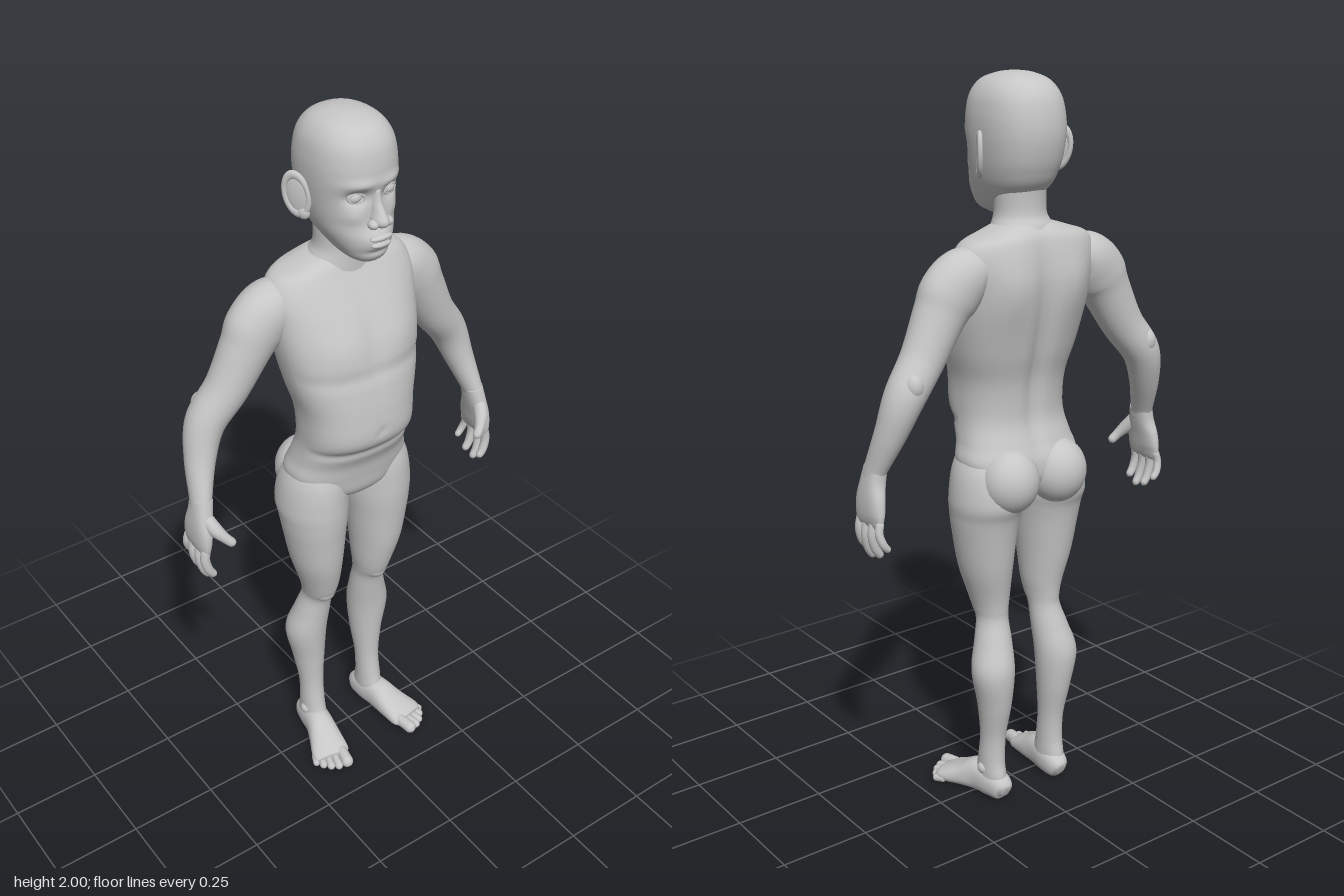
import * as THREE from 'three';

const skin = new THREE.MeshStandardMaterial({ color: 0xc6c6c6 });
skin.name = 'grey skin';

// Smooth bump falling off around zero
const bump = (a, b = 0) => Math.exp(-a * a - b * b);
// Horizontal section [y, xMin, xMax, zFront, zBack] -> [x, y, z, ru, rv]
const slab = ([y, xa, xb, zf, zb]) => [(xa + xb) / 2, y, (zf + zb) / 2, (xb - xa) / 2, (zf - zb) / 2];
// Horizontal section symmetric in x: [y, halfWidth, zFront, zBack]
const symmetric = ([y, w, zf, zb]) => slab([y, -w, w, zf, zb]);

// Skin a tube through sections [x, y, z, ru, rv]; mirror with side = -1
function loft(name, sections, o = {}) {
  const { rings = 40, segs = 36, flat = false, ref = [0, 0, 1], e = 2, round = 0, side = 1, deform } = o;
  const path = new THREE.CatmullRomCurve3(sections.map(s => new THREE.Vector3(s[0], s[1], s[2])), false, 'catmullrom', 0.5);
  const size = new THREE.CatmullRomCurve3(sections.map(s => new THREE.Vector3(s[3], s[4], 0)), false, 'catmullrom', 0.5);
  const axis = new THREE.Vector3(...ref), pos = [], idx = [];
  const power = c => Math.sign(c) * Math.abs(c) ** (2 / e);
  const push = p => {
    if (deform) deform(p);
    pos.push(p.x * side, p.y, p.z);
  };
  for (let i = 0; i <= rings; i++) {
    const t = i / rings, c = path.getPoint(t), r = size.getPoint(t);
    const dir = flat ? new THREE.Vector3(0, -1, 0) : path.getTangent(t);
    const v = axis.clone().addScaledVector(dir, -dir.dot(axis)).normalize();
    const u = v.clone().cross(dir);
    if (round) {
      const k = Math.min(1, t / round, (1 - t) / round);
      r.multiplyScalar(Math.max(0.05, Math.sqrt(1 - (1 - k) ** 2)));
    }
    for (let j = 0; j < segs; j++) {
      const a = j / segs * Math.PI * 2;
      push(c.clone().addScaledVector(u, r.x * power(Math.cos(a))).addScaledVector(v, r.y * power(Math.sin(a))));
    }
  }
  const face = (a, b, c) => side > 0 ? idx.push(a, b, c) : idx.push(a, c, b);
  for (let i = 0; i < rings; i++) for (let j = 0; j < segs; j++) {
    const k = (j + 1) % segs, a = i * segs + j, b = i * segs + k;
    face(a, b, b + segs);
    face(a, b + segs, a + segs);
  }
  // End caps
  const first = pos.length / 3, last = rings * segs;
  push(path.getPoint(0));
  push(path.getPoint(1));
  for (let j = 0; j < segs; j++) {
    const k = (j + 1) % segs;
    face(first, k, j);
    face(first + 1, last + j, last + k);
  }
  const g = new THREE.BufferGeometry();
  g.setAttribute('position', new THREE.Float32BufferAttribute(pos, 3));
  g.setIndex(idx);
  g.computeVertexNormals();
  return named(name, g);
}

function named(name, geometry) {
  const m = new THREE.Mesh(geometry, skin);
  m.name = name;
  return m;
}

function ellipsoid(name, p, r, turn = [0, 0, 0]) {
  const m = named(name, new THREE.SphereGeometry(1, 28, 20));
  m.position.set(...p);
  m.scale.set(...r);
  m.rotation.set(...turn);
  return m;
}

function buildHead() {
  const g = new THREE.Group();
  g.name = 'head';
  // Skull and face, with eye sockets, brow and muzzle
  g.add(loft('skull', [
    [2.0, .006, -.01, -.025], [1.995, .04, .03, -.065], [1.978, .077, .078, -.108], [1.945, .101, .106, -.137],
    [1.9, .111, .118, -.151], [1.85, .112, .12, -.155], [1.8, .107, .115, -.148], [1.76, .1, .116, -.135],
    [1.72, .088, .124, -.112], [1.68, .066, .124, -.06], [1.655, .045, .113, -.005], [1.638, .012, .085, .045],
  ].map(symmetric), {
    flat: true, e: 2.3, rings: 90, segs: 90,
    deform: p => {
      if (p.z < .03) return;
      const x = Math.abs(p.x);
      p.z += .014 * bump(p.x / .04, (p.y - 1.712) / .026) + .007 * bump((x - .045) / .04, (p.y - 1.856) / .012)
        - .02 * bump((x - .048) / .026, (p.y - 1.823) / .017) + .006 * bump((x - .06) / .025, (p.y - 1.775) / .02)
        - .006 * bump(p.x / .035, (p.y - 1.682) / .008);
    },
  }));
  g.add(loft('nose', [[1.84, .011, .121, .08], [1.81, .014, .128, .08], [1.785, .017, .143, .08],
    [1.768, .021, .154, .09], [1.755, .019, .15, .09], [1.745, .006, .13, .1]].map(symmetric), { flat: true, rings: 24 }));
  g.add(ellipsoid('upperLip', [0, 1.722, .132], [.032, .0085, .012]));
  g.add(ellipsoid('lowerLip', [0, 1.704, .131], [.028, .009, .012]));
  for (const s of [-1, 1]) {
    g.add(ellipsoid('nostril', [s * .021, 1.759, .128], [.013, .012, .015]));
    g.add(ellipsoid('eye', [s * .048, 1.822, .085], [.02, .017, .019]));
    const lid = named('eyelid', new THREE.TorusGeometry(.02, .0035, 10, 32));
    lid.position.set(s * .048, 1.822, .098);
    lid.scale.y = .6;
    lid.rotation.y = s * .3;
    g.add(lid);
    // Ear flares out and back
    const ear = new THREE.Group();
    ear.name = 'ear';
    ear.position.set(s * .126, 1.803, -.036);
    ear.rotation.set(0, s > 0 ? .98 : Math.PI - .98, 0);
    const tilt = new THREE.Group();
    tilt.rotation.z = -.2;
    const rim = named('earRim', new THREE.TorusGeometry(.03, .007, 12, 36));
    rim.scale.y = 1.65;
    tilt.add(rim, ellipsoid('earBowl', [-.004, -.002, 0], [.03, .05, .007]),
      ellipsoid('earLobe', [-.008, -.049, 0], [.016, .016, .009]));
    ear.add(tilt);
    g.add(ear);
  }
  return g;
}

function buildTorso() {
  const g = new THREE.Group();
  g.name = 'torso';
  g.add(loft('neck', [[1.76, .066, .02, -.11], [1.7, .068, .03, -.102], [1.65, .07, .03, -.103],
    [1.62, .084, .03, -.117], [1.57, .115, .03, -.135]].map(symmetric), { flat: true }));
  // Trunk with spine groove, shoulder blades, chest and waist fold
  g.add(loft('trunk', [
    [1.632, .06, .01, -.105], [1.61, .13, .02, -.128], [1.587, .19, .03, -.14], [1.54, .212, .055, -.15],
    [1.48, .208, .085, -.155], [1.4, .2, .114, -.148], [1.3, .182, .136, -.128], [1.22, .162, .148, -.107],
    [1.15, .157, .15, -.1], [1.1, .157, .126, -.102], [1.05, .165, .101, -.118], [1.0, .176, .09, -.135],
    [.95, .145, .08, -.13], [.92, .075, .055, -.09], [.905, .02, .02, -.04],
  ].map(symmetric), {
    flat: true, e: 2.35, rings: 100, segs: 80,
    deform: p => {
      const x = Math.abs(p.x);
      if (p.z < -.03) p.z += .018 * bump(p.x / .025, (p.y - 1.3) / .28) - .012 * bump((x - .1) / .055, (p.y - 1.47) / .09);
      else if (p.z > .03) p.z += .008 * bump((x - .085) / .06, (p.y - 1.41) / .06) - .005 * bump(p.x / .012, (p.y - 1.42) / .12)
        - .008 * bump((p.y - 1.105) / .014) - .005 * bump((p.y - 1.335) / .014) - .006 * bump(p.x / .01, (p.y - 1.17) / .012);
    },
  }));
  for (const s of [-1, 1]) g.add(ellipsoid('buttock', [s * .08, .955, -.095], [.083, .09, .08]));
  return g;
}

function buildArm(side) {
  const g = new THREE.Group();
  g.name = side > 0 ? 'leftArm' : 'rightArm';
  g.add(loft('arm', [
    [.12, 1.53, -.06, .035, .05], [.19, 1.515, -.06, .072, .068], [.24, 1.47, -.06, .082, .068], [.272, 1.42, -.06, .07, .063],
    [.328, 1.32, -.066, .058, .057], [.39, 1.235, -.076, .052, .054], [.422, 1.145, -.06, .041, .044],
    [.447, 1.05, -.026, .028, .035], [.452, 1.02, -.02, .026, .036],
  ], { side, rings: 60 }));
  g.add(ellipsoid('elbow', [side * .382, 1.268, -.108], [.026, .034, .026]));
  g.add(loft('palm', [[.447, 1.05, -.024, .026, .034], [.454, 1.01, -.02, .026, .041], [.461, .97, -.02, .024, .053],
    [.465, .93, -.022, .02, .057], [.466, .905, -.026, .013, .052], [.466, .893, -.026, .004, .035]], { side, e: 2.4 }));
  // Fingers: base z, tip z, tip y
  [[.018, .022, .822], [-.012, -.006, .803], [-.041, -.04, .812], [-.068, -.078, .84]].forEach(([z, tz, ty], i) => {
    const r = i === 3 ? .011 : .013;
    g.add(loft('finger', [[.464, .925, z, r, r], [.472, .925 * .6 + ty * .4, z * .6 + tz * .4, r, r],
      [.464, .925 * .25 + ty * .75, tz, r * .95, r * .95], [.446, ty, tz, r * .8, r * .8]], { side, round: .13, rings: 28, segs: 16 }));
  });
  g.add(loft('thumb', [[.455, 1.01, .0, .018, .02], [.443, .978, .028, .019, .02], [.424, .952, .047, .014, .014],
    [.402, .928, .058, .012, .012]], { side, round: .13, rings: 28, segs: 18 }));
  return g;
}

function buildLeg(side) {
  const g = new THREE.Group();
  g.name = side > 0 ? 'leftLeg' : 'rightLeg';
  g.add(loft('leg', [
    [1.05, .03, .15, .06, -.08], [.98, .012, .187, .08, -.125], [.9, .008, .201, .085, -.14], [.85, .013, .197, .084, -.125],
    [.8, .02, .19, .08, -.115], [.7, .03, .172, .07, -.1], [.62, .037, .148, .052, -.085], [.575, .044, .136, .038, -.08],
    [.54, .048, .133, .018, -.081], [.48, .047, .15, .008, -.1], [.4, .05, .17, 0, -.122], [.3, .058, .152, -.008, -.112],
    [.2, .068, .138, -.01, -.091], [.12, .07, .138, 0, -.088], [.07, .07, .138, .012, -.097], [.02, .072, .134, .01, -.095],
  ].map(slab), { flat: true, side, rings: 90 }));
  g.add(ellipsoid('kneecap', [side * .09, .58, .012], [.032, .036, .026]));
  g.add(ellipsoid('ankleBone', [side * .131, .092, -.04], [.015, .018, .018]));
  // Foot, flattened on the ground and turned out
  g.add(loft('foot', [[.1, .03, -.106, .012, .014], [.1, .036, -.092, .03, .034], [.104, .045, -.05, .038, .045],
    [.112, .048, 0, .04, .048], [.124, .036, .05, .048, .036], [.139, .024, .1, .056, .024], [.144, .02, .122, .048, .017]],
  { side, ref: [0, 1, 0], e: 2.3, deform: p => { p.y = Math.max(p.y, .004); } }));
  // Toes from big to little: base, tip, radius
  [[.107, .1, .122, .175, .019], [.134, .108, .148, .165, .013], [.152, .1, .168, .152, .0125],
    [.168, .09, .184, .134, .012], [.18, .075, .196, .114, .0115]].forEach(([x, z, tx, tz, r]) => {
    g.add(loft('toe', [[x, r + .006, z, r * .9, r], [(x + tx) / 2, r + .004, (z + tz) / 2, r * .9, r],
      [tx, r, tz, r, r]], { side, ref: [0, 1, 0], round: .25, rings: 20, segs: 16 }));
  });
  return g;
}

export function createModel() {
  const model = new THREE.Group();
  model.name = 'figure';
  model.add(buildHead(), buildTorso());
  for (const s of [-1, 1]) model.add(buildArm(s), buildLeg(s));
  return model;
}
